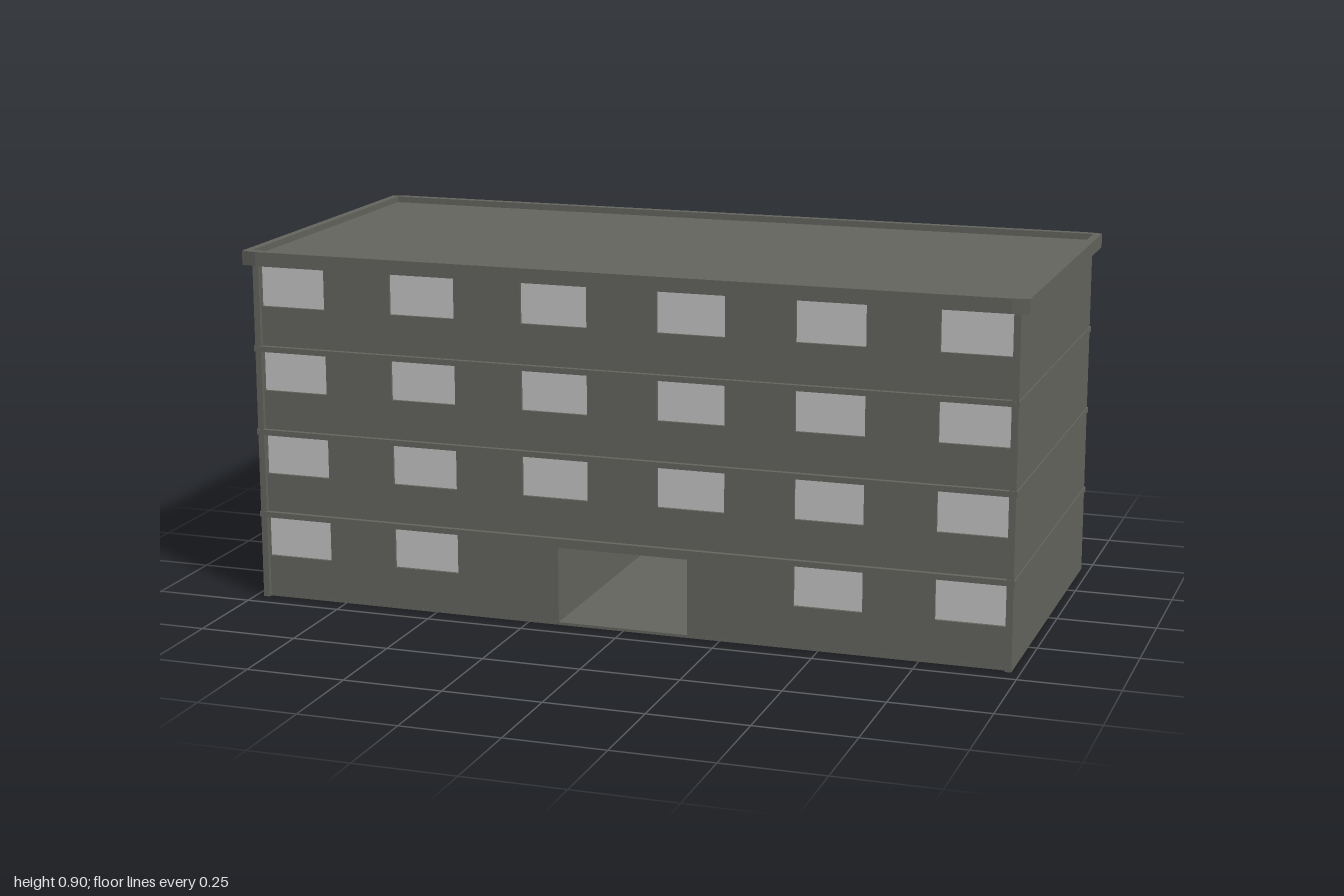
import * as THREE from 'three';

const STOREY = 0.2165;
const WINDOW_X = [-0.875, -0.525, -0.177, 0.175, 0.523, 0.873];
const WIN_W = 0.172, WIN_H = 0.104, SILL = 0.108;
const DOOR_L = -0.17, DOOR_R = 0.166, DOOR_TOP = 0.2;

// wall outline with the passage notched out of its lower edge
function wallShape(halfWidth, bottom, top) {
  return new THREE.Shape([
    [-halfWidth, bottom], [DOOR_L, bottom], [DOOR_L, DOOR_TOP], [DOOR_R, DOOR_TOP],
    [DOOR_R, bottom], [halfWidth, bottom], [halfWidth, top], [-halfWidth, top],
  ].map(([x, y]) => new THREE.Vector2(x, y)));
}

// rectangle with slightly cut corners, for the roof edge
function cutCornerPoints(hx, hz, cx, cz) {
  return [
    [hx - cx, hz], [-hx + cx, hz], [-hx, hz - cz], [-hx, -hz + cz],
    [-hx + cx, -hz], [hx - cx, -hz], [hx, -hz + cz], [hx, hz - cz],
  ].map(([x, y]) => new THREE.Vector2(x, y));
}

function extrude(shape, depth) {
  return new THREE.ExtrudeGeometry(shape, { depth, bevelEnabled: false });
}

export function createModel() {
  const root = new THREE.Group();
  root.name = 'apartmentBlock';
  const concrete = new THREE.MeshStandardMaterial({ color: 0x666660 });
  concrete.name = 'concrete';
  const glass = new THREE.MeshStandardMaterial({ color: 0xc8c8c8 });
  glass.name = 'windowGlass';

  function add(name, geometry, material, x = 0, y = 0, z = 0, parent = root) {
    const mesh = new THREE.Mesh(geometry, material);
    mesh.name = name;
    mesh.position.set(x, y, z);
    parent.add(mesh);
    return mesh;
  }

  // core with the open passage, and the ground slab below it
  add('core', extrude(wallShape(0.965, 0.004, 0.87), 0.86), concrete, 0, 0, -0.43);
  add('groundSlab', new THREE.BoxGeometry(1.95, 0.007, 0.885), concrete, 0, 0.0035, 0);

  // window positions shared by both long sides
  const windows = [];
  for (let floor = 0; floor < 4; floor++) {
    WINDOW_X.forEach((x, i) => {
      if (floor === 0 && (i === 2 || i === 3)) return;
      windows.push([x, SILL + floor * (STOREY + 0.001)]);
    });
  }

  // long walls: a thin skin with window openings, panes set back inside
  const skin = wallShape(0.965, 0.004, 0.87);
  for (const [x, y] of windows) {
    const l = x - WIN_W / 2, r = x + WIN_W / 2;
    skin.holes.push(new THREE.Path([
      new THREE.Vector2(l, y), new THREE.Vector2(l, y + WIN_H),
      new THREE.Vector2(r, y + WIN_H), new THREE.Vector2(r, y),
    ]));
  }
  const skinGeometry = extrude(skin, 0.012);
  const paneGeometry = new THREE.BoxGeometry(WIN_W, WIN_H, 0.004);
  for (const side of [1, -1]) {
    const wall = new THREE.Group();
    wall.name = side > 0 ? 'frontWall' : 'backWall';
    root.add(wall);
    add('wallSkin', skinGeometry, concrete, 0, 0, side > 0 ? 0.43 : -0.442, wall);
    for (const [x, y] of windows) {
      add('windowPane', paneGeometry, glass, x, y + WIN_H / 2, side * 0.432, wall);
    }
  }

  // end walls project past the long walls as corner piers
  for (const side of [1, -1]) {
    add(side > 0 ? 'leftEndWall' : 'rightEndWall',
      new THREE.BoxGeometry(0.016, 0.87, 0.906), concrete, side * 0.97, 0.435, 0);
  }

  // floor bands wrapping the building
  for (let i = 1; i < 4; i++) {
    add('floorBand', new THREE.BoxGeometry(1.962, 0.014, 0.91), concrete, 0, i * STOREY + 0.003, 0);
  }

  // roof deck with a raised rim
  const outline = cutCornerPoints(1, 0.472, 0.04, 0.008);
  const deck = extrude(new THREE.Shape(outline), 0.02).rotateX(-Math.PI / 2);
  add('roofDeck', deck, concrete, 0, 0.868, 0);
  const rim = new THREE.Shape(outline);
  rim.holes.push(new THREE.Path([
    new THREE.Vector2(-0.98, -0.45), new THREE.Vector2(-0.98, 0.45),
    new THREE.Vector2(0.98, 0.45), new THREE.Vector2(0.98, -0.45),
  ]));
  add('roofRim', extrude(rim, 0.016).rotateX(-Math.PI / 2), concrete, 0, 0.888, 0);

  return root;
}
